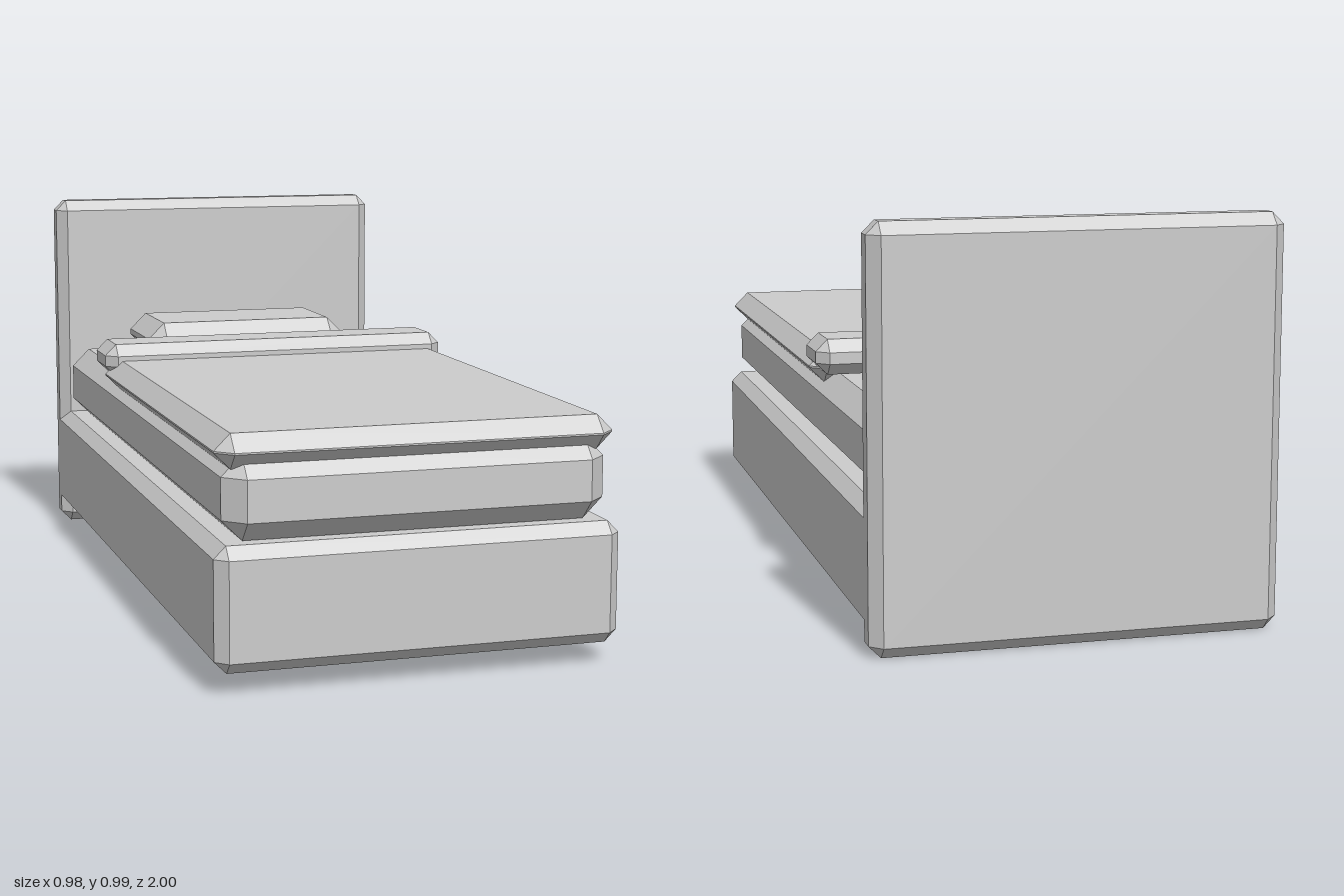
import * as THREE from 'three';
import { ConvexGeometry } from 'three/addons/geometries/ConvexGeometry.js';

const grey = new THREE.MeshStandardMaterial({ color: 0xcccccc });
grey.name = 'light grey';

// Box with flat 45 degree bevels; each of its six faces is inset by the bevel
function bevelledBox(name, halfWidth, [y0, y1], [z0, z1], bevel) {
  const h = [halfWidth, (y1 - y0) / 2, (z1 - z0) / 2];
  const points = [];
  for (const sx of [-1, 1]) for (const sy of [-1, 1]) for (const sz of [-1, 1]) {
    for (let axis = 0; axis < 3; axis++) {
      const [x, y, z] = h.map((v, i) => (i === axis ? v : v - bevel));
      points.push(new THREE.Vector3(sx * x, sy * y, sz * z));
    }
  }
  const mesh = new THREE.Mesh(new ConvexGeometry(points), grey);
  mesh.name = name;
  mesh.position.set(0, (y0 + y1) / 2, (z0 + z1) / 2);
  return mesh;
}

export function createModel() {
  const bed = new THREE.Group();
  bed.name = 'bed';
  bed.add(
    bevelledBox('headboard', 0.491, [0, 0.985], [-1, -0.9], 0.029),
    bevelledBox('bedBase', 0.491, [0.051, 0.345], [-0.96, 1], 0.029),
    bevelledBox('mattress', 0.464, [0.346, 0.543], [-0.89, 0.985], 0.049),
    bevelledBox('blanket', 0.482, [0.512, 0.594], [-0.295, 0.982], 0.039),
    bevelledBox('blanketFold', 0.485, [0.548, 0.637], [-0.39, -0.21], 0.03),
    bevelledBox('pillow', 0.294, [0.543, 0.651], [-0.846, -0.505], 0.046),
  );
  return bed;
}
